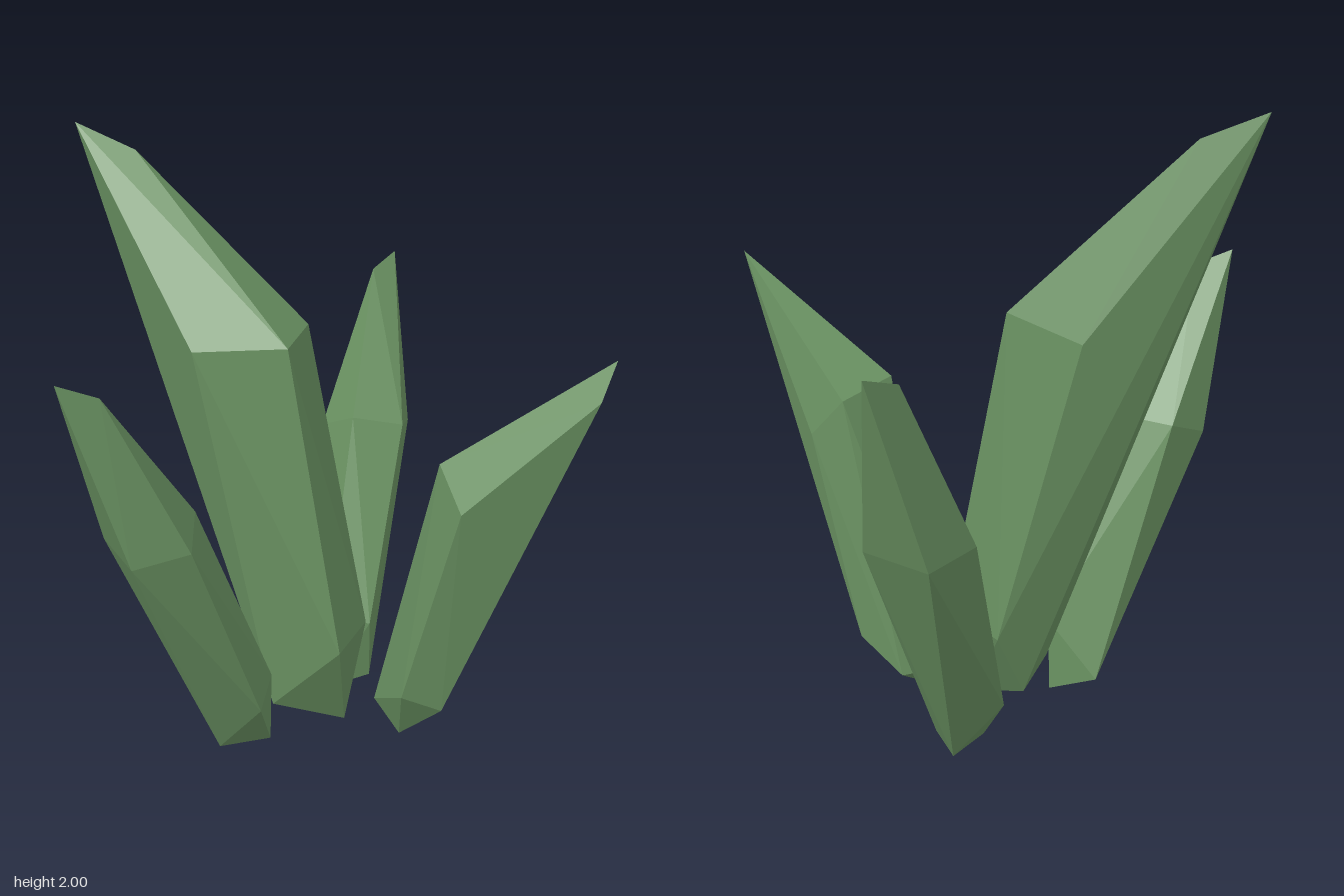
import * as THREE from 'three';
import { ConvexGeometry } from 'three/addons/geometries/ConvexGeometry.js';

// Each crystal is a faceted five-sided shard: tip ridge, shoulder ring, blunt foot.
const crystals = {
  tallCrystal: {
    tip: [[-0.435, 2, -0.625], [-0.28, 1.92, -0.51]],
    shoulder: [[-0.27, 1.37, -0.11], [-0.01, 1.385, 0.03], [0.16, 1.385, -0.17], [0.02, 1.33, -0.4], [-0.22, 1.34, -0.37]],
    foot: [[-0.05, 0.13, 0], [0.115, 0.36, 0.16], [0.29, 0.37, 0.015], [0.21, 0.33, -0.2], [0.1, 0.1, -0.15], [0.2, 0.03, 0.04]],
  },
  rightCrystal: {
    tip: [[-0.785, 1.42, 0.13], [-0.665, 1.375, 0.165]],
    shoulder: [[-0.42, 0.86, 0.22], [-0.34, 0.92, 0.06], [-0.46, 0.91, -0.08], [-0.61, 0.85, -0.02], [-0.6, 0.83, 0.19]],
    foot: [[-0.155, 0.2, 0.13], [-0.06, 0.25, 0.01], [-0.18, 0.06, -0.11], [-0.25, 0.025, 0.01], [-0.06, 0, 0]],
  },
  frontCrystal: {
    tip: [[0.73, 1.44, 0.685], [0.66, 1.33, 0.715]],
    shoulder: [[0.34, 0.95, 0.5], [0.35, 1.06, 0.35], [0.54, 1.02, 0.275], [0.62, 0.89, 0.37], [0.5, 0.86, 0.52]],
    foot: [[0.27, 0.23, 0.3], [0.29, 0.11, 0.085], [0.43, 0.11, 0.09], [0.52, 0.205, 0.235], [0.39, 0.18, 0.355], [0.33, 0.02, 0.19]],
  },
  backCrystal: {
    tip: [[0.785, 1.42, -0.72], [0.67, 1.38, -0.67]],
    shoulder: [[0.46, 0.93, -0.415], [0.635, 0.89, -0.37], [0.73, 0.85, -0.495], [0.6, 0.83, -0.665], [0.43, 0.85, -0.59]],
    foot: [[0.26, 0.27, -0.21], [0.395, 0.26, -0.145], [0.41, 0.04, -0.17], [0.41, 0.03, -0.32], [0.26, 0.2, -0.37], [0.26, 0.01, -0.2]],
  },
};

export function createModel() {
  const group = new THREE.Group();
  group.name = 'crystalCluster';
  const material = new THREE.MeshStandardMaterial({ color: 0x6a9262, flatShading: true });

  for (const [name, { tip, shoulder, foot }] of Object.entries(crystals)) {
    const points = [...tip, ...shoulder, ...foot].map((p) => new THREE.Vector3(...p));
    const mesh = new THREE.Mesh(new ConvexGeometry(points), material);
    mesh.name = name;
    group.add(mesh);
  }
  return group;
}
